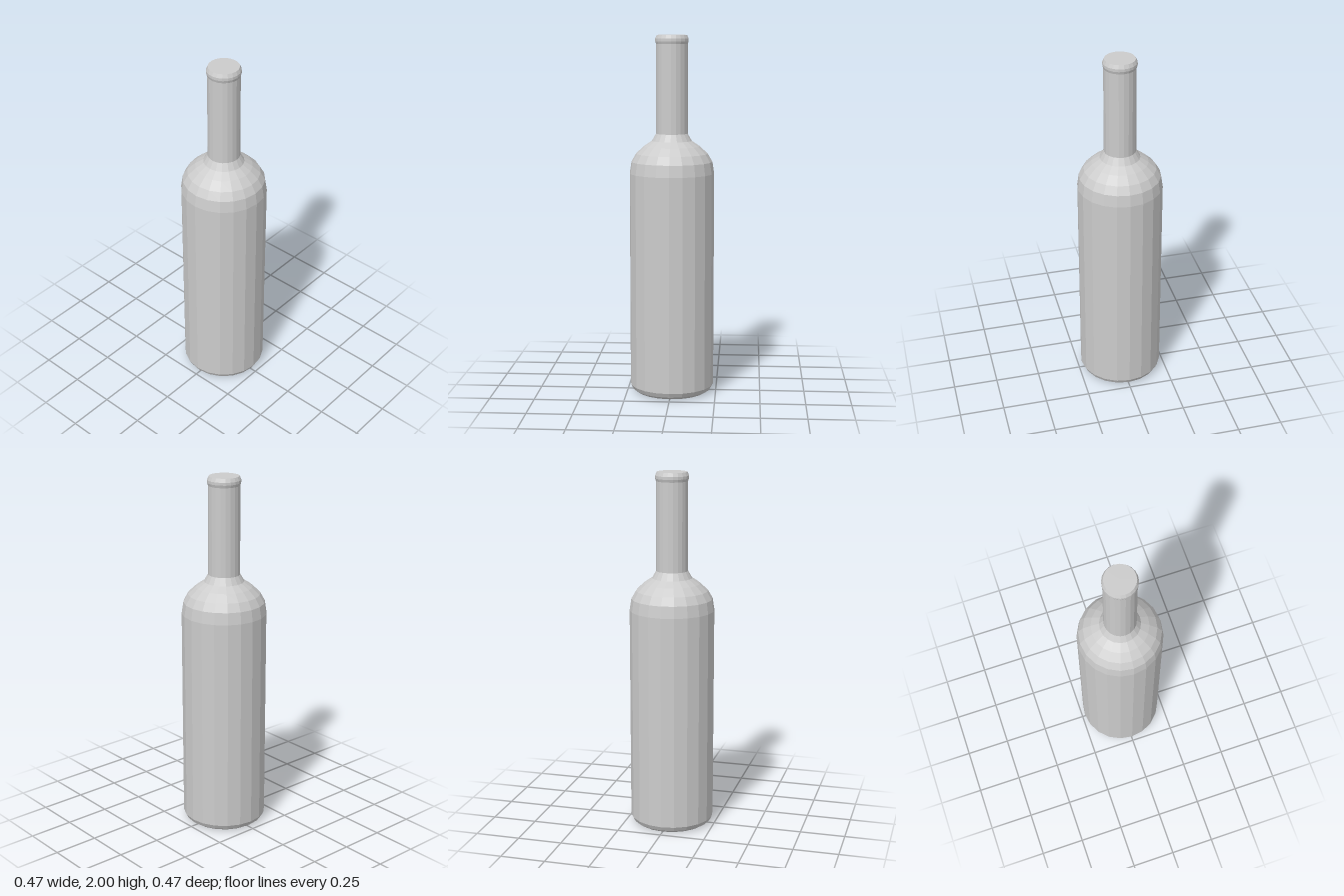
import * as THREE from 'three';

const SIDES = 20;

export function createModel() {
  const group = new THREE.Group();
  group.name = 'bottle';
  const material = new THREE.MeshStandardMaterial({ color: 0xcccccc, flatShading: true });

  // Turns a list of [radius, height] pairs into a faceted part
  const turned = (name, profile) => {
    const points = profile.map(([r, y]) => new THREE.Vector2(r, y));
    const mesh = new THREE.Mesh(new THREE.LatheGeometry(points, SIDES), material);
    mesh.name = name;
    group.add(mesh);
  };

  // Flat base with a bevelled edge, straight wall
  turned('body', [[0, 0], [0.2, 0], [0.222, 0.015], [0.235, 0.04], [0.235, 1.24]]);

  // Rounded shoulder flaring into the neck
  turned('shoulder', [
    [0.235, 1.24], [0.225, 1.305], [0.199, 1.35], [0.156, 1.39], [0.111, 1.42], [0.088, 1.46],
  ]);

  turned('neck', [[0.088, 1.46], [0.087, 1.95]]);

  // Slightly wider rim, closed on top
  turned('lip', [[0.087, 1.95], [0.092, 1.965], [0.092, 1.98], [0.083, 2], [0, 2]]);

  return group;
}
